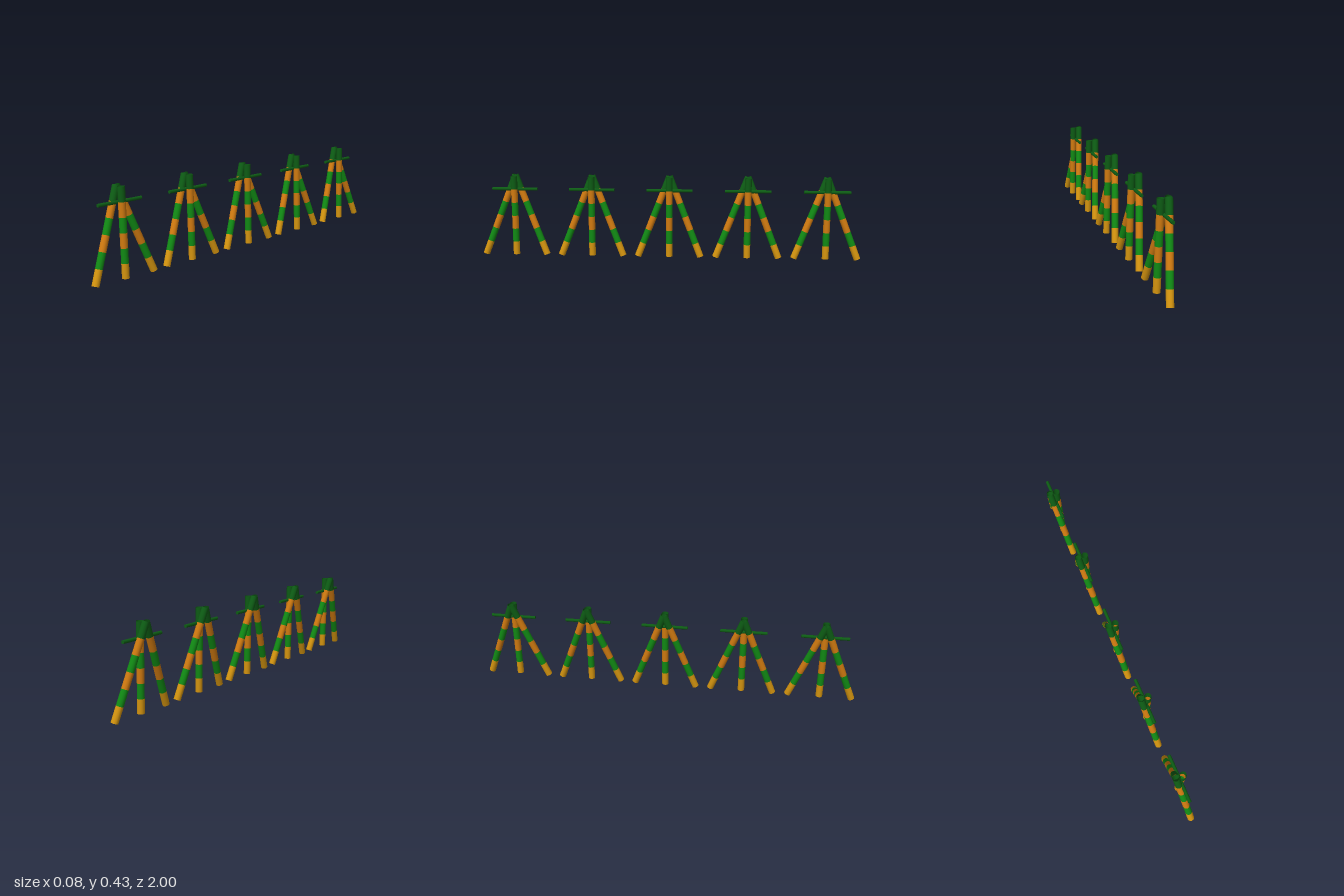
import * as THREE from 'three';

const mat = (name, color) => {
  const m = new THREE.MeshStandardMaterial({ color, side: THREE.DoubleSide });
  m.name = name;
  return m;
};

export function createModel() {
  const ochre = mat('ochre', 0xd4940f);
  const orange = mat('orange', 0xd07a10);
  const green = mat('green', 0x118a14);
  const darkGreen = mat('dark green', 0x0d5c14);

  // Band colours from the foot of a pole to its top
  const bands = [ochre, green, orange, green, orange, darkGreen];
  const RADIUS = 0.0175;
  const UP = new THREE.Vector3(0, 1, 0);

  // Hollow pole of equal painted bands between two points
  function pole(name, foot, top) {
    const a = new THREE.Vector3(...foot);
    const dir = new THREE.Vector3(...top).sub(a);
    const step = dir.length() / bands.length;
    const geometry = new THREE.CylinderGeometry(RADIUS, RADIUS, step, 12, 1, true);
    const group = new THREE.Group();
    group.name = name;
    bands.forEach((material, i) => {
      const band = new THREE.Mesh(geometry, material);
      band.name = `${name}Band${i + 1}`;
      band.position.y = step * (i + 0.5);
      group.add(band);
    });
    group.position.copy(a);
    group.quaternion.setFromUnitVectors(UP, dir.normalize());
    return group;
  }

  // Three poles and a crossbar
  function tripod() {
    const group = new THREE.Group();
    group.name = 'tripod';
    group.add(
      pole('frontLeg', [0.022, 0.007, 0.165], [-0.024, 0.428, 0]),
      pole('backLeg', [0.022, 0.007, -0.165], [-0.024, 0.428, 0]),
      pole('uprightLeg', [0.023, 0.007, 0], [0.012, 0.427, 0])
    );
    const bar = new THREE.Mesh(new THREE.CylinderGeometry(0.0085, 0.0085, 0.24, 8), darkGreen);
    bar.name = 'crossbar';
    bar.rotation.x = Math.PI / 2;
    bar.position.set(0, 0.356, 0);
    group.add(bar);
    return group;
  }

  // Row of five tripods
  const model = new THREE.Group();
  model.name = 'tripodRow';
  for (let i = -2; i <= 2; i++) {
    const t = tripod();
    t.position.z = i * 0.409;
    model.add(t);
  }
  return model;
}
